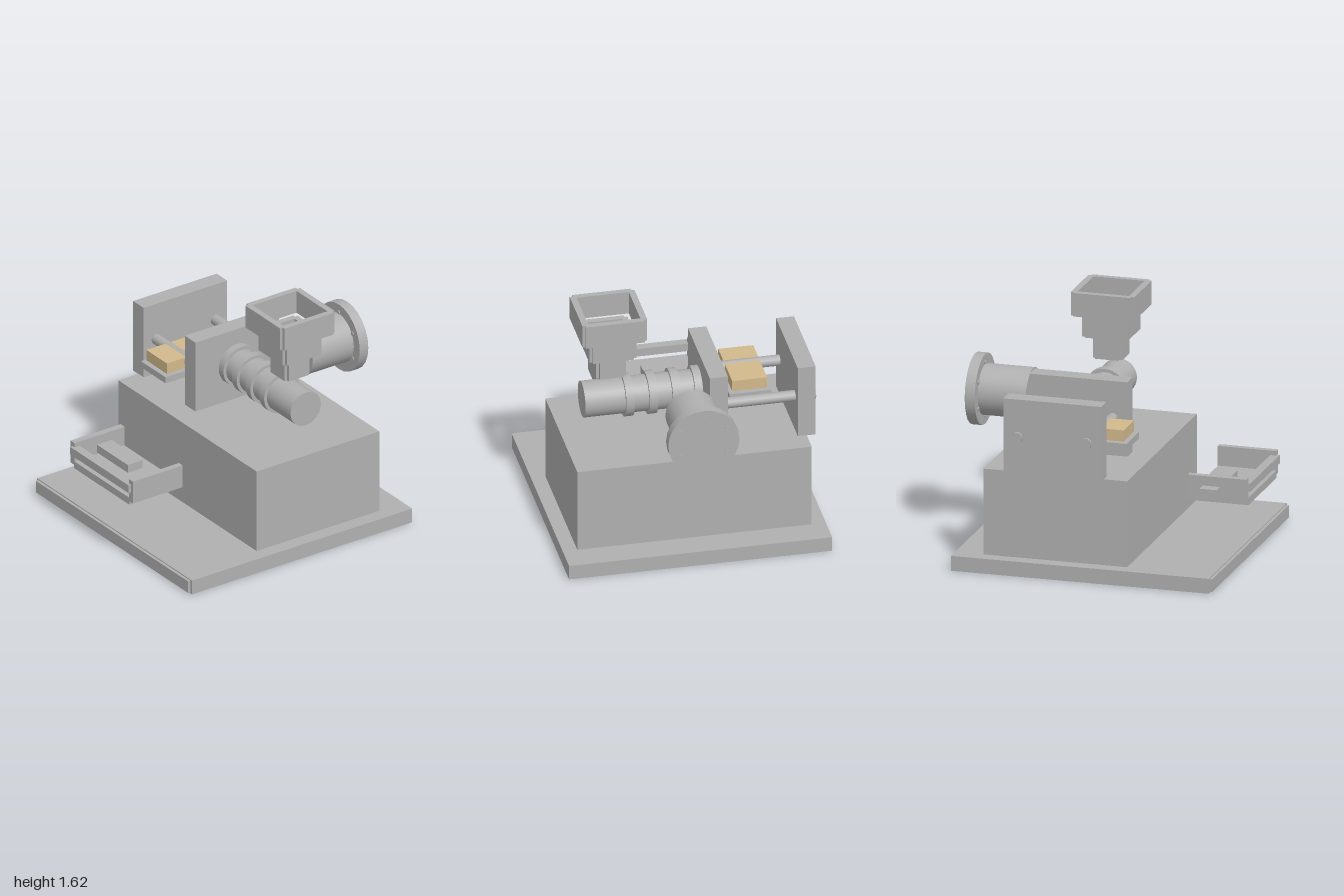
import * as THREE from 'three';

export function createModel() {
  const model = new THREE.Group();
  model.name = 'mouldingMachine';
  const metal = new THREE.MeshStandardMaterial({ color: 0xb0b0b0 });
  metal.name = 'grey metal';
  const tan = new THREE.MeshStandardMaterial({ color: 0xd2b98c });
  tan.name = 'tan block';

  const add = (geometry, name, material = metal, parent = model) => {
    const mesh = new THREE.Mesh(geometry, material);
    mesh.name = name;
    parent.add(mesh);
    return mesh;
  };
  // Box given by its limits along each axis
  const box = (name, [x0, x1], [y0, y1], [z0, z1], material, parent) => {
    const g = new THREE.BoxGeometry(x1 - x0, y1 - y0, z1 - z0);
    g.translate((x0 + x1) / 2, (y0 + y1) / 2, (z0 + z1) / 2);
    return add(g, name, material, parent);
  };
  // Cylinders lying along x or z
  const rodX = (name, r, x0, x1, y, z, sides = 32) => {
    const g = new THREE.CylinderGeometry(r, r, x1 - x0, sides);
    g.rotateZ(Math.PI / 2).translate((x0 + x1) / 2, y, z);
    return add(g, name);
  };
  const rodZ = (name, r, z0, z1, x, y, sides = 32) => {
    const g = new THREE.CylinderGeometry(r, r, z1 - z0, sides);
    g.rotateX(Math.PI / 2).translate(x, y, (z0 + z1) / 2);
    return add(g, name);
  };

  // Base and housing
  box('basePlate', [-0.885, 0.885], [0, 0.102], [-0.89, 0.88]);
  box('baseFrontStrip', [-0.87, 0.87], [0.01, 0.095], [0.87, 0.9]);
  box('housing', [-0.79, 0.787], [0.1, 0.692], [-0.695, 0.292]);

  // Clamp plates joined by two tie rods
  box('outerPlate', [-0.85, -0.73], [0.69, 1.207], [-0.54, 0.132]);
  box('innerPlate', [-0.26, -0.138], [0.69, 1.203], [-0.54, 0.132]);
  for (const z of [-0.445, 0.03]) rodX('tieRod', 0.038, -0.867, -0.2, 0.947, z, 10);

  // Mould block on its tray
  box('mouldBlock', [-0.592, -0.357], [0.9, 0.977], [-0.225, 0.207], tan);
  box('mouldTray', [-0.615, -0.333], [0.848, 0.893], [-0.25, 0.235]);

  // Barrel with heater bands
  rodX('barrel', 0.122, -0.15, 0.65, 0.95, -0.2);
  for (const x of [-0.113, 0.038, 0.193, 0.351]) {
    rodX('heaterBand', 0.144, x - 0.028, x + 0.028, 0.95, -0.2);
  }

  // Stepped hopper: each tier is four separate walls with open corners
  const hopper = new THREE.Group();
  hopper.name = 'hopper';
  hopper.position.set(0.47, 0, -0.2);
  model.add(hopper);
  const tiers = [[0.197, 1.458, 1.62], [0.137, 1.3, 1.458], [0.08, 1.143, 1.3]];
  for (const [h, y0, y1] of tiers) {
    for (const s of [-1, 1]) {
      const across = [s * h - 0.021, s * h + 0.021];
      box('hopperSide', across, [y0, y1], [-h, h], metal, hopper);
      box('hopperEnd', [-h, h], [y0, y1], across, metal, hopper);
    }
  }

  // Rear motor with bolted flange
  rodZ('motor', 0.172, -0.95, -0.593, 0, 0.988);
  rodZ('motorFlange', 0.24, -0.992, -0.923, 0, 0.988, 24);
  for (let i = 0; i < 6; i++) {
    const a = Math.PI / 6 + i * Math.PI / 3;
    rodZ('flangeBolt', 0.014, -1, -0.917, 0.183 * Math.cos(a), 0.988 + 0.183 * Math.sin(a), 12);
  }

  // Front tray with side walls, rail and bar
  box('trayFloor', [-0.32, 0.315], [0.452, 0.503], [0.582, 0.982]);
  box('trayLeftWall', [0.31, 0.352], [0.476, 0.638], [0.58, 0.98]);
  box('trayRightWall', [-0.36, -0.314], [0.476, 0.638], [0.577, 0.98]);
  box('trayRail', [-0.337, 0.332], [0.55, 0.607], [0.94, 1]);
  box('trayBar', [-0.435, 0.038], [0.515, 0.572], [0.68, 0.8]);

  return model;
}
